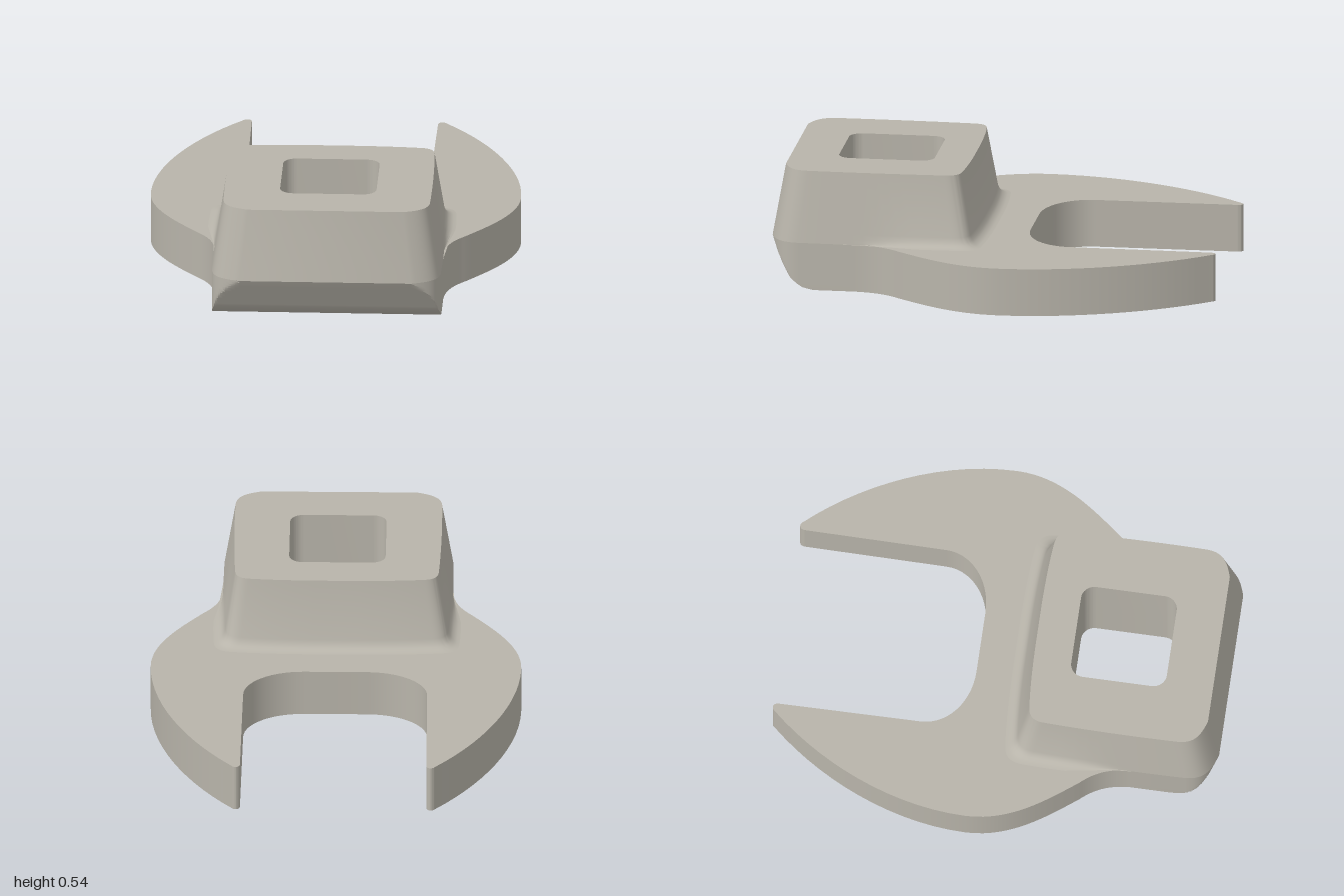
import * as THREE from 'three';
import { toCreasedNormals } from 'three/addons/utils/BufferGeometryUtils.js';

const PLATE_TOP = 0.215, BLOCK_TOP = 0.535;

// Mirror the +x half of an outline (x, z) and cut the rounded square drive hole
function outline(half, divisions) {
  const right = half.getPoints(divisions).map(p => new THREE.Vector2(p.x, -p.y));
  const left = right.map(p => new THREE.Vector2(-p.x, p.y)).reverse();
  const shape = new THREE.Shape([...right, ...left]);
  const hole = new THREE.Path(), a = 0.155, r = 0.06, cy = -0.518, q = Math.PI / 2;
  [[a, a], [-a, a], [-a, -a], [a, -a]].forEach(([x, y], i) =>
    hole.absarc(x, cy + y, r, i * q, (i + 1) * q));
  hole.closePath();
  shape.holes.push(hole);
  return shape;
}

// Extrude an outline upwards, then move each vertex by a rule
function extrude(shape, depth, steps, rule) {
  const geo = new THREE.ExtrudeGeometry(shape, { depth, steps, bevelEnabled: false, curveSegments: 8 });
  geo.rotateX(-Math.PI / 2);
  const pos = geo.attributes.position, v = new THREE.Vector3();
  for (let i = 0; i < pos.count; i++) {
    rule(v.fromBufferAttribute(pos, i));
    pos.setXYZ(i, v.x, v.y, v.z);
  }
  return toCreasedNormals(geo, 0.5);
}

export function createModel() {
  const group = new THREE.Group();
  const steel = new THREE.MeshStandardMaterial({ color: 0xb8b4aa });
  steel.name = 'warm grey steel';

  // Open jaw plate: throat, prong, flank, neck and front corner
  const jaw = new THREE.Path();
  jaw.moveTo(0.14, -0.125);
  jaw.bezierCurveTo(0.29, -0.125, 0.41, -0.22, 0.41, -0.34);
  jaw.lineTo(0.415, -0.975);
  jaw.bezierCurveTo(0.415, -1.0, 0.44, -1.01, 0.455, -0.985);
  jaw.bezierCurveTo(0.66, -0.76, 0.825, -0.42, 0.825, -0.08);
  jaw.bezierCurveTo(0.825, 0.12, 0.70, 0.27, 0.60, 0.40);
  jaw.bezierCurveTo(0.545, 0.46, 0.515, 0.52, 0.51, 0.62);
  jaw.lineTo(0.51, 0.865);
  jaw.bezierCurveTo(0.505, 0.935, 0.475, 0.965, 0.38, 1.0);

  // The underside of the front is cut back by a slope with a rounded foot
  const frontLimit = y => y < 0.06
    ? 0.8 + 0.11 * Math.sqrt(Math.max(y, 0) / 0.06)
    : 0.91 + (y - 0.06) * 0.09 / 0.155;
  const plate = new THREE.Mesh(extrude(outline(jaw, 14), PLATE_TOP, 20, v => {
    v.z = Math.min(v.z, frontLimit(v.y));
  }), steel);
  plate.name = 'jawPlate';
  group.add(plate);

  // Tapered drive block with slightly bulging sides
  const block = new THREE.Path();
  block.moveTo(0.10, 0.134);
  block.quadraticCurveTo(0.28, 0.136, 0.39, 0.148);
  block.bezierCurveTo(0.43, 0.152, 0.452, 0.17, 0.454, 0.22);
  block.quadraticCurveTo(0.466, 0.52, 0.46, 0.83);
  block.bezierCurveTo(0.455, 0.89, 0.43, 0.92, 0.345, 0.945);

  const levels = [0.215, 0.217, 0.221, 0.228, 0.238, 0.26, BLOCK_TOP];
  const centreZ = 0.54, fillet = 0.045;
  const drive = new THREE.Mesh(extrude(outline(block, 12), levels.length - 1, levels.length - 1, v => {
    v.y = levels[Math.round(v.y)];
    if (Math.abs(v.x) < 0.22 && v.z > 0.295 && v.z < 0.74) return; // hole stays straight
    // Widen towards the plate, with a fillet that fades out along the neck
    const t = (BLOCK_TOP - v.y) / (BLOCK_TOP - PLATE_TOP);
    const rise = Math.max(0, fillet - (v.y - PLATE_TOP));
    const fade = THREE.MathUtils.clamp((0.56 - v.z) / 0.2, 0, 1);
    const out = 0.05 * t + fade * (fillet - Math.sqrt(fillet * fillet - rise * rise));
    v.x *= 1 + out / 0.46;
    v.z = centreZ + (v.z - centreZ) * (1 + (out + 0.005 * t) / 0.405);
  }), steel);
  drive.name = 'driveBlock';
  group.add(drive);

  return group;
}
